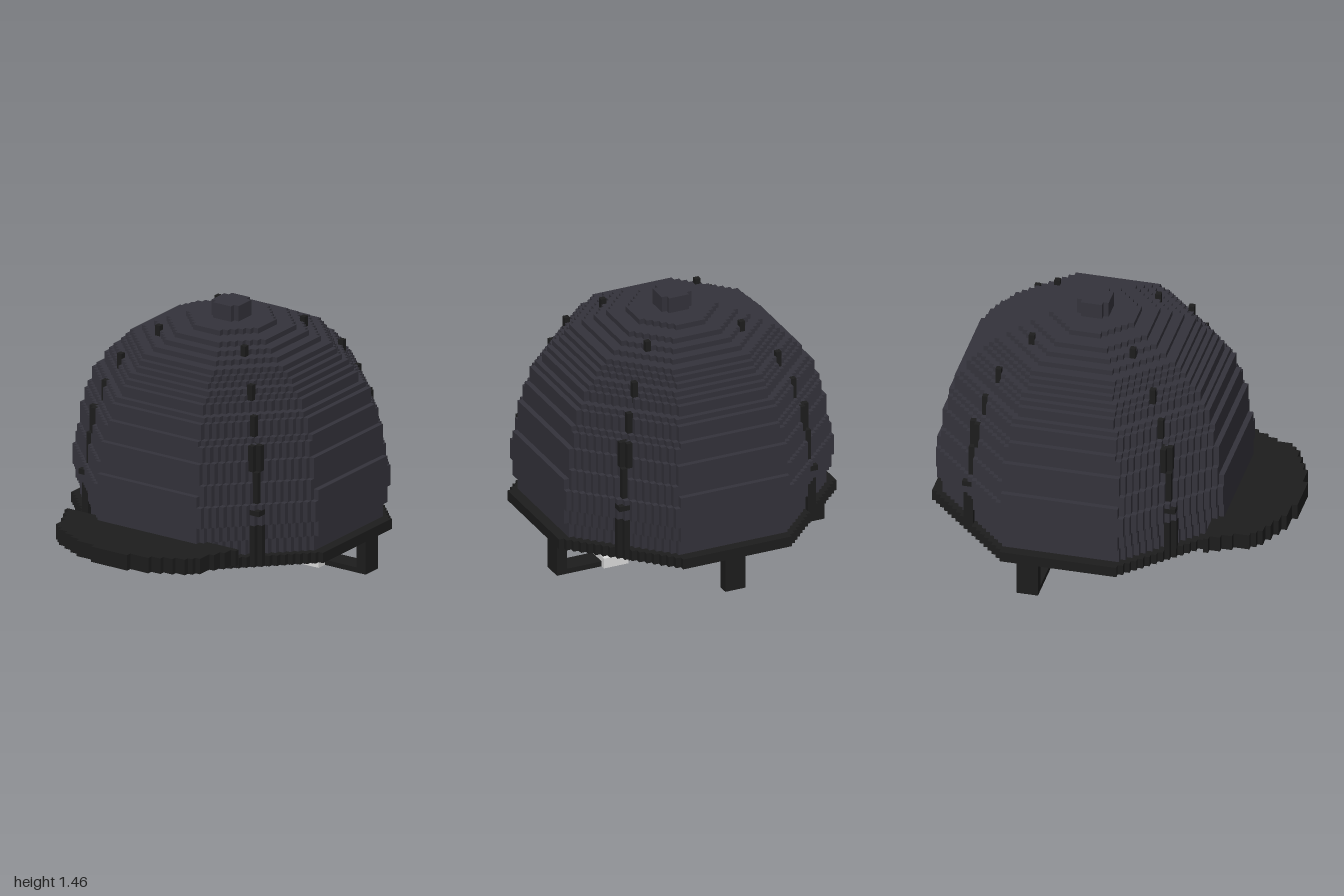
import * as THREE from 'three';

const V = 2 / 67; // edge of one small cube; everything below is counted in cubes

const slate = new THREE.MeshStandardMaterial({ color: 0x34333b });
slate.name = 'slate shell';
const black = new THREE.MeshStandardMaterial({ color: 0x1d1d1d });
black.name = 'black trim';
const silver = new THREE.MeshStandardMaterial({ color: 0xdedede });
silver.name = 'silver buckle';

// Stepped outline, symmetric in x, from half widths per row running towards +z
function steppedPoints(z0, widths) {
  const right = [];
  widths.forEach((w, i) => {
    if (i > 0 && w === widths[i - 1]) right.pop();
    else right.push(new THREE.Vector2(w, -(z0 + i)));
    right.push(new THREE.Vector2(w, -(z0 + i + 1)));
  });
  const left = right.map((p) => new THREE.Vector2(-p.x, p.y)).reverse();
  return right.concat(left);
}

// Octagon of half width a; the stair-stepped diagonals keep |x| + |z| within limit
function octagon(a, limit = Math.floor((a - 0.5) * Math.SQRT2)) {
  const widths = [];
  for (let z = -a; z < a; z++) {
    widths.push(Math.min(a, limit - Math.abs(z + 0.5) + 0.5));
  }
  return steppedPoints(-a, widths);
}

function slab(name, points, hole, y0, y1, material) {
  const shape = new THREE.Shape(points);
  // holes wind opposite to the outline so their walls face inwards
  if (hole) shape.holes.push(new THREE.Path(hole.reverse()));
  const geo = new THREE.ExtrudeGeometry(shape, { depth: y1 - y0, bevelEnabled: false });
  geo.rotateX(-Math.PI / 2);
  const mesh = new THREE.Mesh(geo, material);
  mesh.position.y = y0;
  mesh.name = name;
  return mesh;
}

function block(name, x0, x1, y0, y1, z0, z1, material) {
  const mesh = new THREE.Mesh(new THREE.BoxGeometry(x1 - x0, y1 - y0, z1 - z0), material);
  mesh.position.set((x0 + x1) / 2, (y0 + y1) / 2, (z0 + z1) / 2);
  mesh.name = name;
  return mesh;
}

export function createModel() {
  const model = new THREE.Group();
  model.name = 'helmet';
  const body = new THREE.Group();
  body.name = 'helmetBody';
  body.scale.setScalar(V);
  body.position.z = -1 + 28 * V;
  model.add(body);

  // Hollow shell: [half width, top row, diagonal limit] for each step of the dome
  const steps = [
    [26, 12, 36], [27, 15, 37], [27, 19, 38], [27, 21, 37], [26, 23, 37], [26, 27, 36],
    [25, 30, 35], [25, 31, 34], [24, 34, 33], [23, 35, 32], [22, 37, 30], [21, 38, 29],
    [20, 39, 28], [19, 40, 26], [18, 41, 25], [17, 42, 24], [15, 43, 21], [13, 44, 18],
    [11, 45, 15], [8, 46, 10],
  ];
  const shell = new THREE.Group();
  shell.name = 'shell';
  let bottom = 9;
  steps.forEach(([a, top, limit], i) => {
    const next = steps[i + 1];
    const hole = next ? octagon(Math.min(a, next[0]) - 1) : null;
    shell.add(slab('shellStep', octagon(a, limit), hole, bottom, top, slate));
    bottom = top;
  });
  body.add(shell);

  // Lining edge, rim and top knob
  body.add(slab('liningEdge', octagon(25), octagon(24), 6, 7, slate));
  body.add(slab('rim', octagon(28), octagon(24), 7, 9, black));
  body.add(slab('topKnob', octagon(3, 4), null, 46, 49, slate));

  // Rounded brim at the front
  const brimRows = [19, 18, 18, 17, 17, 16, 16, 16, 15, 14, 12, 10, 8, 4];
  body.add(slab('brim', steppedPoints(25, brimRows), null, 9, 12, black));

  // Seam studs up the four diagonals: x, z, bottom row, top row
  const studs = [
    [9.5, 9.5, 42, 45], [14.5, 14.5, 36, 40], [16.5, 16.5, 31, 35], [17.5, 17.5, 25, 30],
    [18.5, 17.5, 25, 30], [17.5, 18.5, 25, 30], [18.5, 18.5, 9, 25],
    [19.5, 18.5, 9, 15], [18.5, 19.5, 9, 15], [19.5, 18.5, 17, 18], [18.5, 19.5, 17, 18],
    [19.5, 19.5, 17, 18],
  ];
  const seams = new THREE.Group();
  seams.name = 'seamStuds';
  const h = 0.53;
  for (const sx of [-1, 1]) {
    for (const sz of [-1, 1]) {
      for (const [x, z, y0, y1] of studs) {
        seams.add(block('stud', sx * x - h, sx * x + h, y0, y1, sz * z - h, sz * z + h, black));
      }
    }
  }
  body.add(seams);

  // Chin strap with side hangers, pad, buckle and rear hanger
  body.add(block('leftHanger', 25, 27, 0, 7, -8, -4, black));
  body.add(block('rightHanger', -27, -25, 0, 7, -8, -4, black));
  body.add(block('chinStrapRight', -25, 13, 0, 1, -8, -4, black));
  body.add(block('chinStrapLeft', 18, 25, 0, 1, -8, -4, black));
  body.add(block('chinPad', -8, 8, 0, 3, -9, -2, black));
  body.add(block('buckle', 13, 18, 0, 2, -9, -2, silver));
  body.add(block('rearHanger', -2, 2, 0, 7, -27, -25, black));

  return model;
}
